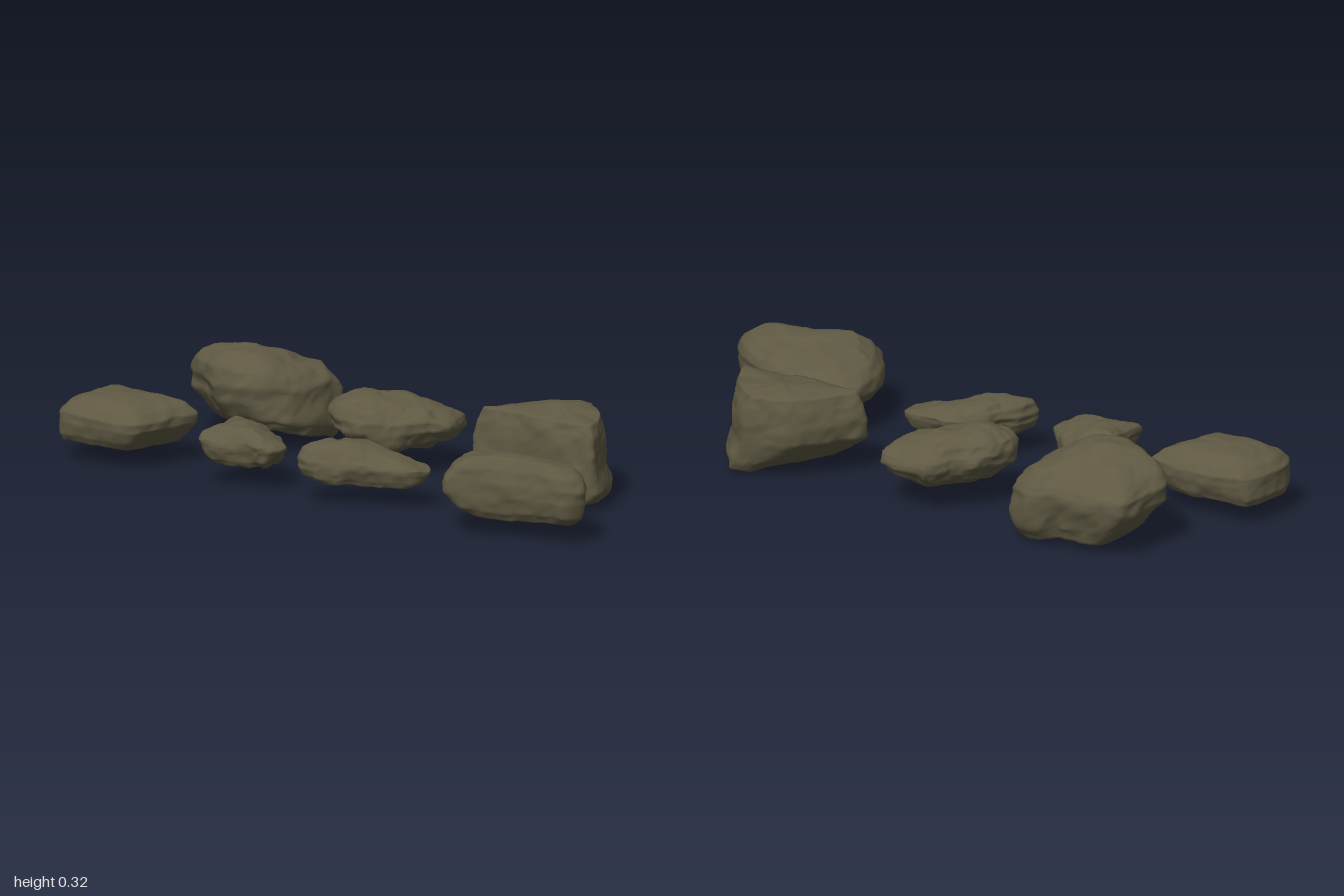
import * as THREE from 'three';
import { mergeVertices } from 'three/addons/utils/BufferGeometryUtils.js';

const { lerp } = THREE.MathUtils;
const SIDES = 88, STEPS = 6;

// Smooth value noise in -1..1
const hash = (x, y, z) => {
  const s = Math.sin(x * 127.1 + y * 311.7 + z * 74.7) * 43758.5453;
  return s - Math.floor(s);
};
function noise(x, y, z) {
  const i = Math.floor(x), j = Math.floor(y), k = Math.floor(z);
  const ease = (t) => t * t * (3 - 2 * t);
  const u = ease(x - i), v = ease(y - j), w = ease(z - k);
  const row = (b, c) => lerp(hash(i, b, c), hash(i + 1, b, c), u);
  const layer = (c) => lerp(row(j, c), row(j + 1, c), v);
  return lerp(layer(k), layer(k + 1), w) * 2 - 1;
}
const bumps = (x, y, z, seed) =>
  0.01 * noise(x * 11 + seed, y * 11, z * 11) +
  0.006 * noise(x * 25, y * 25 + seed, z * 25) +
  0.003 * noise(x * 55, y * 55, z * 55 + seed);

// Rock profile: [height fraction, scale of the plan] from base to top
const profile = (foot, crown) => [
  [0, 0], [0, foot], [0.15, lerp(foot, 1, 0.6)], [0.4, 1], [0.6, 1],
  [0.78, lerp(crown, 1, 0.65)], [0.93, crown], [1, 0],
];

// Lofts a plan outline [x, z] up the profile. lean shifts the foot along x,
// peak shifts the top, baseTilt and tilt slope the lower and upper parts in x and z.
function rockGeometry(outline, form) {
  const { bottom, top, foot, footZ = foot, crown, lean = 0, peak = [0, 0], baseTilt = [0, 0], tilt = [0, 0], rough = 1 } = form;
  const points = outline.map(([x, z]) => new THREE.Vector3(x, 0, z));
  const center = new THREE.Box3().setFromPoints(points).getCenter(new THREE.Vector3());
  const plan = new THREE.CatmullRomCurve3(points, true, 'catmullrom', 0.3).getSpacedPoints(SIDES).slice(0, SIDES);
  const seed = Math.round(center.x * 50);

  // Levels hold [height fraction, x scale, z scale]
  const stagesZ = profile(footZ, crown);
  const stages = profile(foot, crown).map(([t, s], i) => [t, s, stagesZ[i][1]]);
  const levels = [stages[0]];
  for (let s = 1; s < stages.length; s++) {
    for (let n = 1; n <= STEPS; n++) {
      levels.push(stages[s].map((value, k) => lerp(stages[s - 1][k], value, n / STEPS)));
    }
  }

  const positions = [], index = [];
  levels.forEach(([t, sx, sz], j) => {
    const low = Math.max(0, 1 - t / 0.4), high = Math.max(0, (t - 0.5) / 0.5);
    plan.forEach((p, i) => {
      const ox = (p.x - center.x) * sx + lean * low + peak[0] * high;
      const oz = (p.z - center.z) * sz + peak[1] * high;
      const x = center.x + ox, z = center.z + oz;
      const y = lerp(bottom, top, t) + low * (baseTilt[0] * ox + baseTilt[1] * oz) + high * (tilt[0] * ox + tilt[1] * oz);
      positions.push(
        x + rough * bumps(x, y, z, seed),
        Math.max(0, y + 0.8 * rough * bumps(x, y, z, seed + 31)),
        z + rough * bumps(x, y, z, seed + 67));
      if (j < levels.length - 1) {
        const a = j * SIDES + i, b = j * SIDES + (i + 1) % SIDES;
        index.push(b, a, a + SIDES, b, a + SIDES, b + SIDES);
      }
    });
  });
  const loft = new THREE.BufferGeometry();
  loft.setAttribute('position', new THREE.Float32BufferAttribute(positions, 3));
  loft.setIndex(index);
  const geometry = mergeVertices(loft, 1e-5);
  geometry.computeVertexNormals();
  return geometry;
}

export function createModel() {
  const group = new THREE.Group();
  group.name = 'rocks';
  const stone = new THREE.MeshStandardMaterial({ color: 0x5f5943 });
  stone.name = 'mossy stone';

  function addRock(name, outline, form) {
    const mesh = new THREE.Mesh(rockGeometry(outline, form), stone);
    mesh.name = name;
    group.add(mesh);
  }

  // Back row
  addRock('backLeftBoulder',
    [[-.82, -.18], [-.78, -.38], [-.58, -.38], [-.45, -.41], [-.37, -.36], [-.38, -.19], [-.44, -.09], [-.52, -.055], [-.65, -.06]],
    { bottom: .055, top: .315, foot: .72, crown: .52, lean: .05, peak: [-.02, .04], baseTilt: [-.05, .2], tilt: [0, .15] });
  addRock('backMiddleRock',
    [[-.22, -.08], [-.2, -.2], [-.12, -.28], [-.03, -.36], [.14, -.32], [.15, -.2], [.01, -.05], [-.14, -.02]],
    { bottom: .08, top: .25, foot: .5, crown: .48, peak: [-.04, .04], tilt: [-.1, 0], rough: 1.3 });
  addRock('backRightBoulder',
    [[.32, -.1], [.36, -.2], [.48, -.33], [.62, -.355], [.72, -.25], [.78, -.1], [.6, -.1]],
    { bottom: .008, top: .3, foot: .45, footZ: .85, crown: .87, lean: .1, baseTilt: [.08, 0], rough: .8 });

  // Front row
  addRock('frontLeftBlock',
    [[-.99, .24], [-.93, .085], [-.61, .1], [-.62, .2], [-.67, .355], [-.95, .355]],
    { bottom: .07, top: .225, foot: .84, crown: .58, lean: -.025, rough: .6 });
  addRock('smallRock',
    [[-.43, .12], [-.28, .12], [-.17, .24], [-.18, .31], [-.28, .31], [-.41, .34], [-.41, .24]],
    { bottom: .075, top: .198, foot: .72, crown: .5, peak: [-.05, -.01] });
  addRock('frontMiddleRock',
    [[-.06, .31], [.04, .13], [.14, .1], [.32, .12], [.32, .2], [.17, .27], [0, .34]],
    { bottom: .07, top: .185, foot: .75, crown: .58, peak: [-.04, 0], tilt: [-.2, 0], rough: .9 });
  addRock('frontRightSlab',
    [[.48, .26], [.49, .1], [.62, .04], [.8, .095], [.94, .17], [.995, .24], [.95, .31], [.75, .335], [.57, .4]],
    { bottom: .065, top: .255, foot: .72, crown: .72, lean: .03, peak: [.02, 0], tilt: [0, .2], rough: .7 });
  return group;
}
